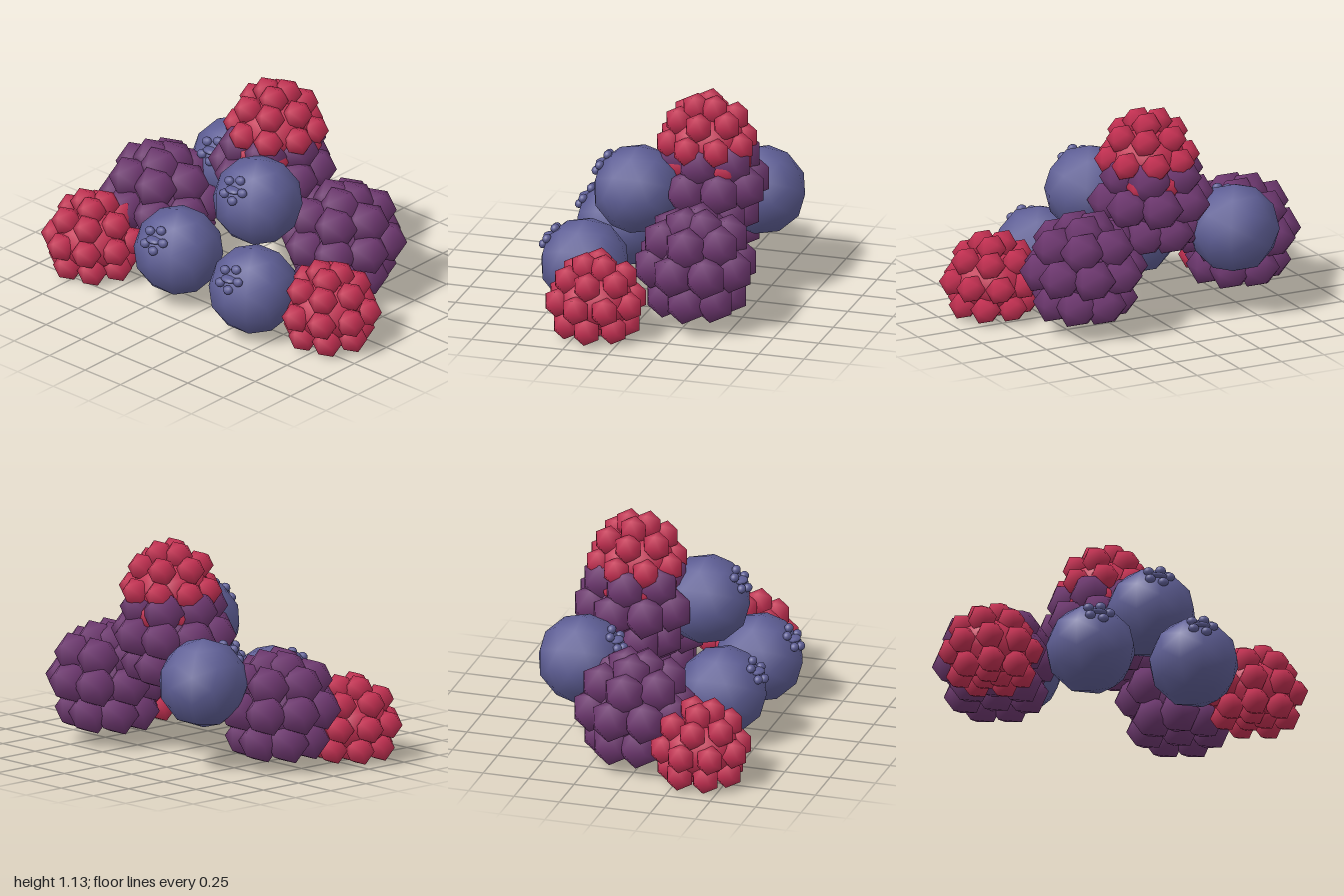
import * as THREE from 'three';

const red = new THREE.MeshStandardMaterial({ color: 0xc43052 });
const purple = new THREE.MeshStandardMaterial({ color: 0x6e3870 });
const blue = new THREE.MeshStandardMaterial({ color: 0x5f5f96 });

// Low-poly ball with smooth normals
function ball(radius, detail) {
  const g = new THREE.IcosahedronGeometry(radius, detail);
  const p = g.attributes.position, v = new THREE.Vector3();
  for (let i = 0; i < p.count; i++) {
    v.fromBufferAttribute(p, i).normalize();
    g.attributes.normal.setXYZ(i, v.x, v.y, v.z);
  }
  return g;
}

function addMesh(parent, name, geometry, material, x, y, z) {
  const mesh = new THREE.Mesh(geometry, material);
  mesh.name = name;
  mesh.position.set(x, y, z);
  parent.add(mesh);
  return mesh;
}

// Rows of a clustered berry: [height, ring radius, number of drupelets, start angle]
const redRows = [[0.085, 0.165, 7, 0], [0.205, 0.203, 8, 0.25], [0.325, 0.152, 6, 0], [0.39, 0.06, 3, 1.05], [0.08, 0.05, 3, 0]];
const purpleRows = [[0.105, 0.168, 7, 0], [0.265, 0.226, 8, 0.25], [0.405, 0.175, 6, 0], [0.465, 0.06, 3, 1.05], [0.1, 0, 1, 0]];

function clusterBerry(name, rows, size, material, x, y, z) {
  const berry = new THREE.Group();
  berry.name = name;
  berry.position.set(x, y, z);
  const drupelet = ball(size, 0);
  for (const [h, r, n, start] of rows) {
    for (let i = 0; i < n; i++) {
      const a = start + (i / n) * Math.PI * 2;
      addMesh(berry, 'drupelet', drupelet, material, r * Math.cos(a), h, r * Math.sin(a));
    }
  }
  // Core closing the gaps between drupelets
  const [mid, r] = rows[1];
  addMesh(berry, 'core', ball(1, 1), material, 0, mid, 0).scale.set(r, mid * 0.8, r);
  return berry;
}

// Round berry with a small crown tilted up and forward
function roundBerry(x, y, z) {
  const berry = new THREE.Group();
  berry.name = 'blueberry';
  berry.position.set(x, y, z);
  addMesh(berry, 'berryBody', ball(0.239, 1), blue, 0, 0, 0);
  const crown = new THREE.Group();
  crown.name = 'crown';
  crown.position.set(0, 0.13, 0.187);
  crown.rotation.x = -0.6;
  const sepal = ball(0.029, 1);
  for (let i = 0; i < 5; i++) {
    const a = (i / 5) * Math.PI * 2;
    addMesh(crown, 'sepal', sepal, blue, 0.06 * Math.cos(a), 0.06 * Math.sin(a), 0.003).scale.set(1, 0.85, 0.8);
  }
  berry.add(crown);
  addMesh(berry, 'crownCentre', ball(1, 1), blue, 0, 0.13, 0.187).scale.set(0.05, 0.017, 0.04);
  return berry;
}

export function createModel() {
  const model = new THREE.Group();
  model.name = 'berryPile';

  // Raspberries
  for (const [x, y, z] of [[0.015, 0.68, -0.23], [0.733, 0, 0.153], [-0.735, -0.005, 0.365]])
    model.add(clusterBerry('raspberry', redRows, 0.08, red, x, y, z));

  // Blackberries
  for (const [x, y, z] of [[-0.615, 0.06, -0.04], [0.425, 0.083, -0.298], [-0.01, 0.39, -0.23]])
    model.add(clusterBerry('blackberry', purpleRows, 0.118, purple, x, y, z));

  // Blueberries
  for (const [x, y, z] of [[-0.187, 0.292, 0.31], [0.183, 0.634, 0.1], [0.363, 0.26, 0.333], [-0.417, 0.472, -0.392]])
    model.add(roundBerry(x, y, z));

  return model;
}
